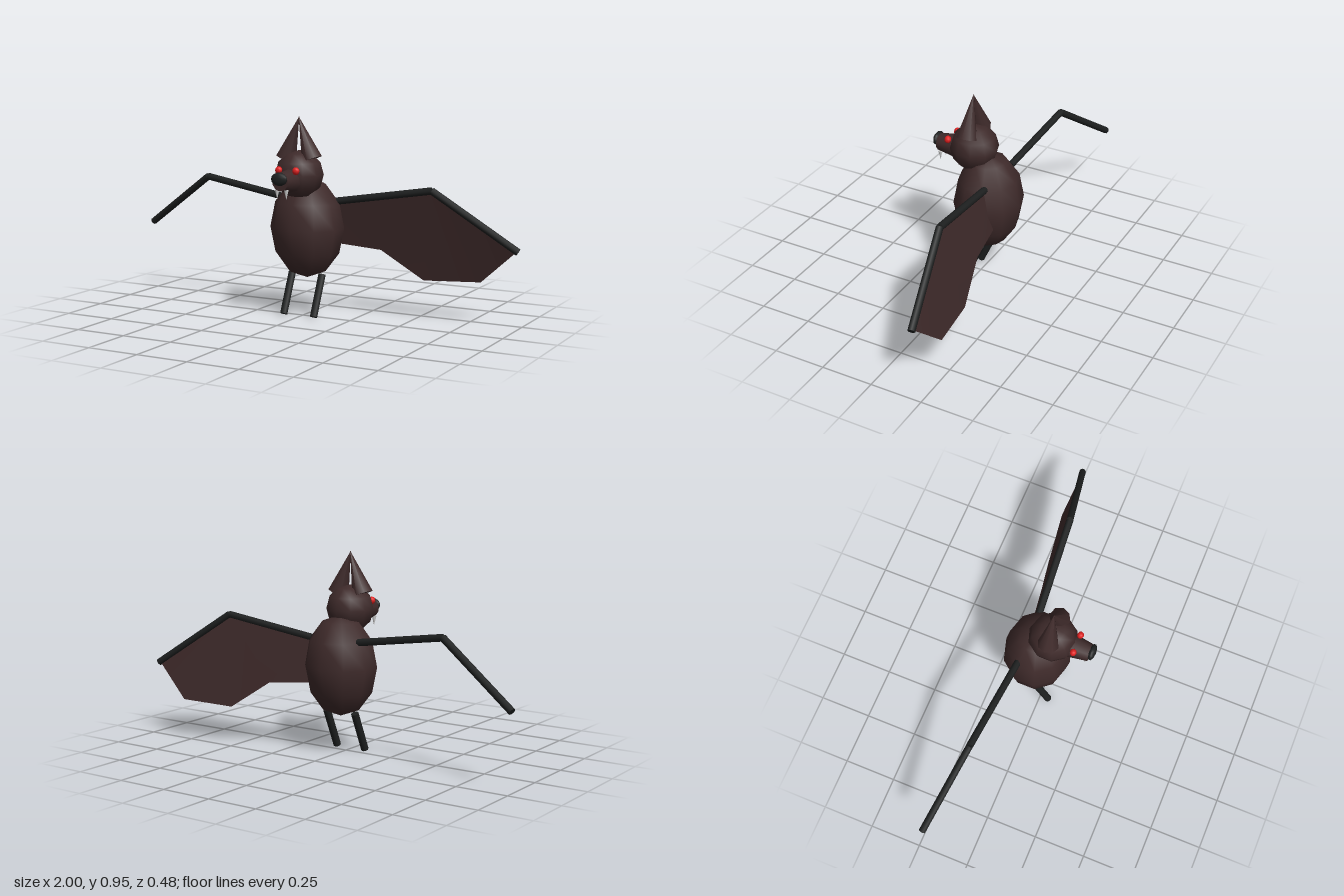
import * as THREE from 'three';

const mat = (name, color) => {
  const m = new THREE.MeshStandardMaterial({ color });
  m.name = name;
  return m;
};

export function createModel() {
  const bat = new THREE.Group();
  bat.name = 'bat';
  const fur = mat('brown fur', 0x3e2a2a);
  const skin = mat('wing skin', 0x3e2a2a);
  skin.side = THREE.DoubleSide;
  const dark = mat('dark bone', 0x1e2020);
  const red = mat('red eye', 0xe01f1f);
  const white = mat('fang white', 0xdcdcdc);

  const add = (name, geometry, material) => {
    const mesh = new THREE.Mesh(geometry, material);
    mesh.name = name;
    bat.add(mesh);
    return mesh;
  };
  // Coarse ellipsoid with a vertex column facing front and back
  const ball = (name, material, radii, pos, w = 10, h = 6) => {
    const g = new THREE.SphereGeometry(1, w, h);
    g.rotateY(Math.PI / 2).scale(...radii).translate(...pos);
    return add(name, g, material);
  };
  // Tapered cylinder between two points
  const rod = (name, material, a, b, r0, r1 = r0, sides = 8) => {
    const from = new THREE.Vector3(...a), to = new THREE.Vector3(...b);
    const dir = to.clone().sub(from);
    const mesh = add(name, new THREE.CylinderGeometry(r1, r0, dir.length(), sides), material);
    mesh.position.copy(from).add(to).multiplyScalar(0.5);
    mesh.quaternion.setFromUnitVectors(new THREE.Vector3(0, 1, 0), dir.normalize());
    return mesh;
  };

  // Body, head and muzzle
  ball('body', fur, [0.18, 0.24, 0.162], [0, 0.42, -0.042]);
  ball('head', fur, [0.115, 0.113, 0.115], [0, 0.68, 0.034]);
  rod('snout', fur, [0, 0.66, 0.11], [0, 0.66, 0.217], 0.057, 0.041, 10);
  ball('nose', dark, [0.041, 0.031, 0.018], [0, 0.676, 0.226], 10, 8);

  for (const [side, s] of [['left', 1], ['right', -1]]) {
    // Face details
    ball(side + 'Eye', red, [0.018, 0.018, 0.016], [s * 0.045, 0.708, 0.15], 8, 6);
    rod(side + 'Fang', white, [s * 0.024, 0.625, 0.202], [s * 0.024, 0.58, 0.202], 0.011, 0);
    rod(side + 'Ear', fur, [s * 0.068, 0.754, 0.038], [s * -0.002, 0.95, 0.038], 0.05, 0);

    // Legs and wing bones
    rod(side + 'Leg', dark, [s * 0.08, 0.2, -0.042], [s * 0.08, 0.011, 0.043], 0.018);
    rod(side + 'UpperWingBone', dark, [s * 0.13, 0.547, -0.088], [s * 0.6, 0.62, -0.123], 0.017);
    rod(side + 'LowerWingBone', dark, [s * 0.6, 0.62, -0.123], [s * 0.99, 0.355, -0.207], 0.017);
  }

  // Scalloped membrane, present on the left wing only
  const pts = [
    [0.12, 0.545, -0.088], [0.6, 0.62, -0.123], [0.98, 0.355, -0.207], [0.8, 0.195, -0.24],
    [0.53, 0.185, -0.205], [0.33, 0.32, -0.16], [0.12, 0.34, -0.13],
  ];
  const wing = new THREE.BufferGeometry();
  wing.setAttribute('position', new THREE.Float32BufferAttribute(pts.flat(), 3));
  wing.setIndex([0, 6, 5, 0, 5, 1, 1, 5, 4, 1, 4, 3, 1, 3, 2]);
  wing.computeVertexNormals();
  add('leftWingMembrane', wing, skin);

  return bat;
}
